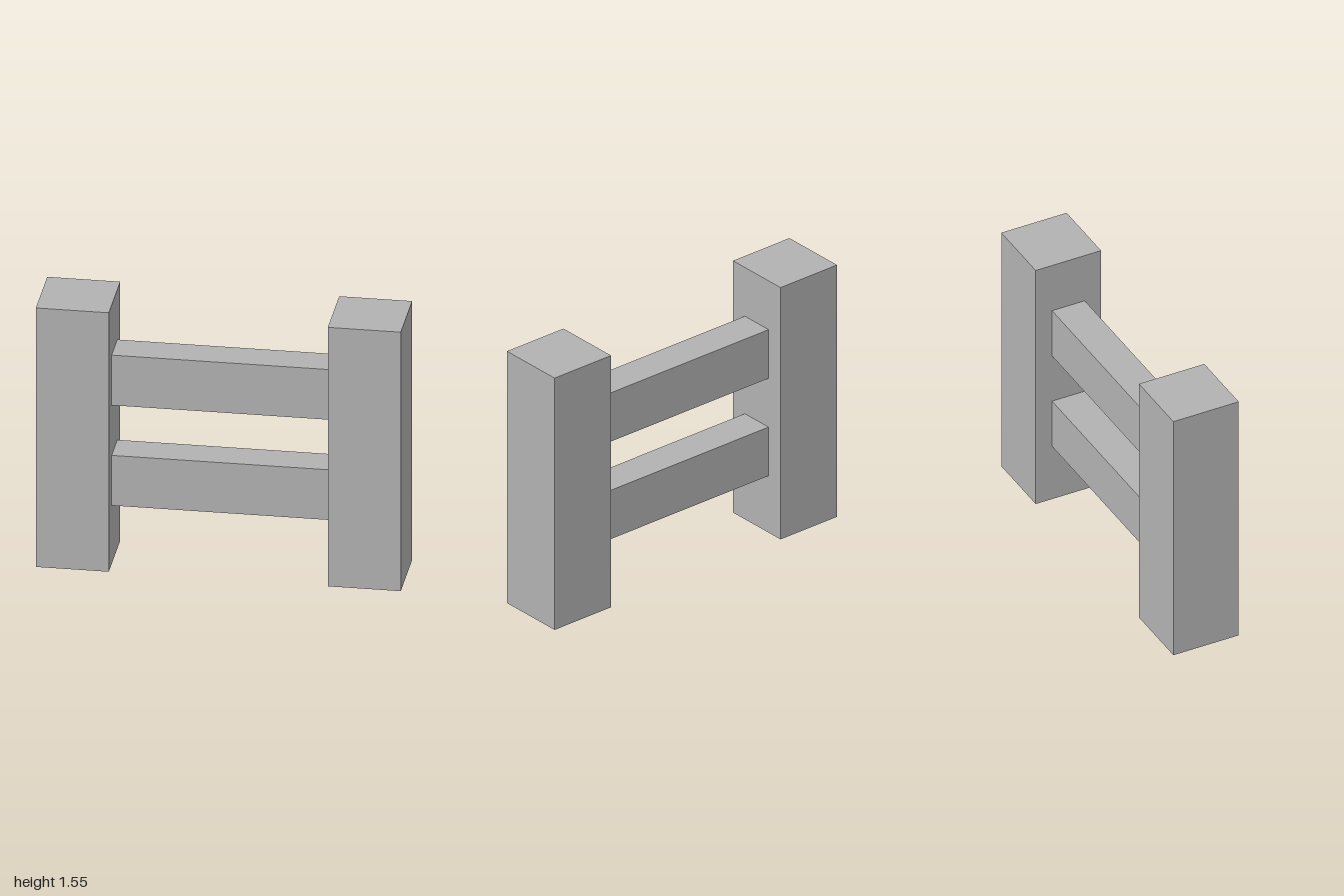
import * as THREE from 'three';

export function createModel() {
  const group = new THREE.Group();
  group.name = 'fence';

  const grey = new THREE.MeshStandardMaterial({ color: 0xb2b2b2 });
  grey.name = 'grey';

  const addBox = (name, size, position) => {
    const mesh = new THREE.Mesh(new THREE.BoxGeometry(...size), grey);
    mesh.name = name;
    mesh.position.set(...position);
    group.add(mesh);
  };

  // Square posts at both ends
  for (const [name, side] of [['leftPost', 1], ['rightPost', -1]]) {
    addBox(name, [0.4, 1.55, 0.4], [side * 0.8, 0.775, 0]);
  }

  // Horizontal rails spanning between the posts
  for (const [name, y] of [['lowerRail', 0.5], ['upperRail', 1.1]]) {
    addBox(name, [1.2, 0.3, 0.2], [0, y, 0]);
  }

  return group;
}
